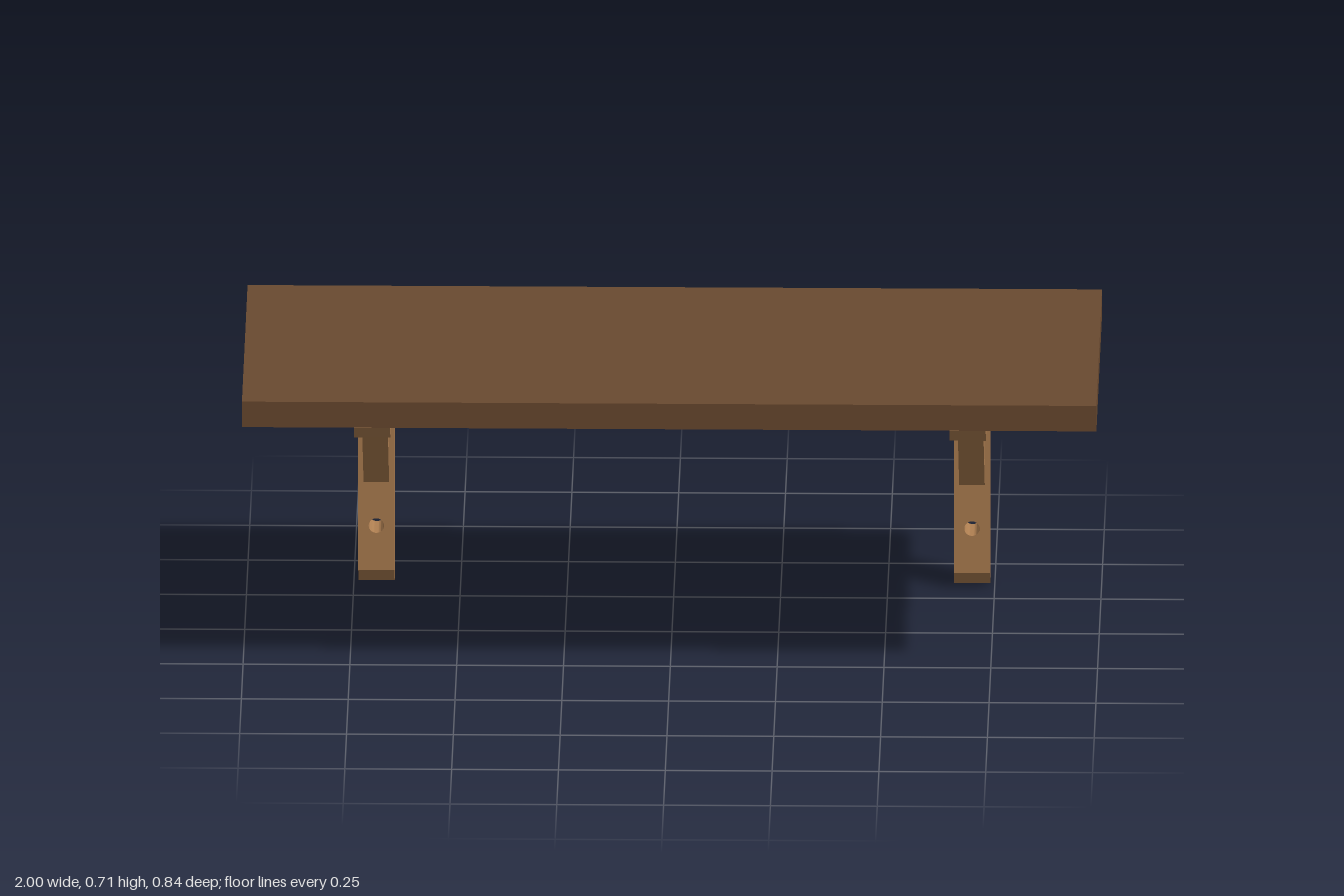
import * as THREE from 'three';
import { toCreasedNormals } from 'three/addons/utils/BufferGeometryUtils.js';

const BACK = -0.41, FRONT = -0.325;          // post depth range
const UNDER = 0.645, TOP = 0.708;            // board thickness range
const WIDTH = 0.085, BRACE_WIDTH = 0.06;
const CHAMFER = 0.037;

const boardWood = new THREE.MeshStandardMaterial({ color: 0x6a4a30 });
const bracketWood = new THREE.MeshStandardMaterial({ color: 0xb08052 });

function part(name, geometry, material) {
  const mesh = new THREE.Mesh(geometry, material);
  mesh.name = name;
  return mesh;
}

// Side profile of [z, y] points, extruded across x and centred on it
function sideProfile(points, width) {
  const shape = new THREE.Shape(points.map(([z, y]) => new THREE.Vector2(z, y)));
  const geometry = new THREE.ExtrudeGeometry(shape, { depth: width, bevelEnabled: false });
  return geometry.translate(0, 0, -width / 2).rotateY(-Math.PI / 2);
}

// Wall post with two screw holes front to back and a chamfered front foot
function postGeometry() {
  const w = WIDTH / 2, depth = FRONT - BACK;
  const shape = new THREE.Shape();
  shape.moveTo(-w, 0).lineTo(w, 0).lineTo(w, UNDER).lineTo(-w, UNDER).closePath();
  for (const y of [0.147, 0.51]) {
    shape.holes.push(new THREE.Path().absarc(0, y, 0.018, 0, Math.PI * 2, true));
  }
  const geometry = new THREE.ExtrudeGeometry(shape, {
    depth, steps: 2, bevelEnabled: false, curveSegments: 24,
  });
  // The middle ring marks the chamfer's start; the front bottom edge is raised
  const p = geometry.attributes.position;
  for (let i = 0; i < p.count; i++) {
    const z = p.getZ(i);
    if (Math.abs(z - depth / 2) < 1e-4) p.setZ(i, depth - CHAMFER);
    else if (z > depth / 2 && p.getY(i) < 1e-4) p.setY(i, CHAMFER);
  }
  return toCreasedNormals(geometry.translate(0, 0, BACK), 0.5);
}

function createBracket(name, x) {
  const bracket = new THREE.Group();
  bracket.name = name;
  bracket.position.x = x;

  // Horizontal arm with a chamfered lower front corner
  const arm = sideProfile([
    [FRONT, 0.58], [0.302, 0.58], [0.34, 0.617], [0.34, UNDER], [FRONT, UNDER],
  ], WIDTH);

  // Narrower diagonal brace, cut flush to the arm and the post
  const brace = sideProfile([
    [FRONT, 0.255], [0.015, 0.58], [-0.038, 0.58], [FRONT, 0.315],
  ], BRACE_WIDTH);

  bracket.add(
    part('post', postGeometry(), bracketWood),
    part('arm', arm, bracketWood),
    part('brace', brace, bracketWood),
  );
  return bracket;
}

export function createModel() {
  const shelf = new THREE.Group();
  shelf.name = 'wallShelf';

  const board = part('board', new THREE.BoxGeometry(2, TOP - UNDER, 0.84), boardWood);
  board.position.y = (TOP + UNDER) / 2;

  shelf.add(board, createBracket('leftBracket', 0.697), createBracket('rightBracket', -0.697));
  return shelf;
}
